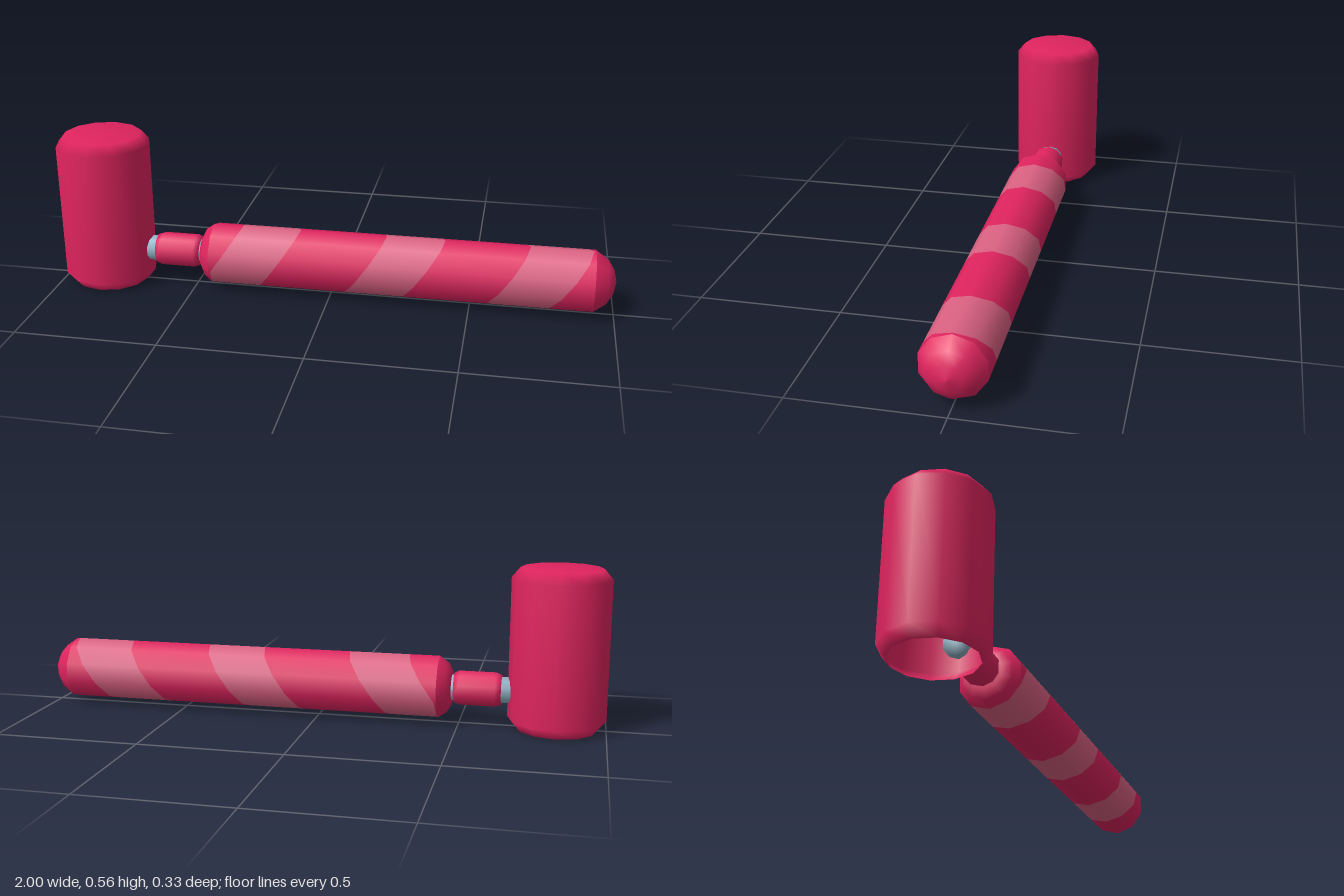
import * as THREE from 'three';

const mat = (name, color, side = THREE.FrontSide) => {
  const m = new THREE.MeshStandardMaterial({ color, side });
  m.name = name;
  return m;
};

export function createModel() {
  const model = new THREE.Group();
  model.name = 'mallet';
  const crimson = mat('crimson', 0xe0245f, THREE.DoubleSide);
  const pink = mat('lightPink', 0xdc6283);
  const steel = mat('paleSteel', 0x8fb2c4);

  const AXIS_Y = 0.125; // height of the handle axis
  const R = 0.11;       // handle radius

  const add = (name, geometry, material, parent = model) => {
    const mesh = new THREE.Mesh(geometry, material);
    mesh.name = name;
    parent.add(mesh);
    return mesh;
  };
  const lathe = (points, sides, start = 0) =>
    new THREE.LatheGeometry(points.map(([r, h]) => new THREE.Vector2(r, h)), sides, start);
  // turned part lying along x; points are [radius, x]
  const turned = (name, points, material, parent) =>
    add(name, lathe(points, 10, Math.PI / 2).rotateZ(-Math.PI / 2).translate(0, AXIS_Y, 0), material, parent);

  // Head: bevelled upright barrel, open underneath
  const head = add('head', lathe([
    [0.138, 0], [0.167, 0.035], [0.167, 0.52], [0.138, 0.555], [0, 0.555],
  ], 12), crimson);
  head.position.x = -0.833;

  // Neck: metal rod with a bevelled sleeve
  turned('neckRod', [[0, -0.69], [0.046, -0.69], [0.046, -0.46], [0, -0.46]], steel);
  turned('neckSleeve', [
    [0.04, -0.645], [0.053, -0.645], [0.061, -0.625], [0.061, -0.5], [0.053, -0.482], [0.04, -0.482],
  ], crimson);

  // Handle: two rounded ends and a body cut into slanted bands
  const handle = new THREE.Group();
  handle.name = 'handle';
  model.add(handle);
  const x0 = -0.43, x1 = 0.925, slant = 0.7;
  turned('handleInnerEnd', [[0, -0.474], [0.06, -0.474], [0.09, -0.458], [R, x0]], crimson, handle);
  turned('handleTip', [[R, x1], [0.08, 0.968], [0.045, 0.99], [0, 1]], crimson, handle);

  const cuts = [-0.6, -0.4, -0.187, 0.123, 0.33, 0.625, 0.84, 1.1];
  for (let i = 0; i < cuts.length - 1; i++) {
    const g = new THREE.CylinderGeometry(R, R, 1, 10, 1, true, Math.PI / 2).rotateZ(-Math.PI / 2);
    const p = g.attributes.position;
    // shear both rims along the slanted cutting planes
    for (let v = 0; v < p.count; v++) {
      const cut = p.getX(v) < 0 ? cuts[i] : cuts[i + 1];
      p.setX(v, THREE.MathUtils.clamp(cut + slant * p.getY(v), x0, x1));
    }
    g.translate(0, AXIS_Y, 0);
    add(i % 2 ? 'lightStripe' : 'darkStripe', g, i % 2 ? pink : crimson, handle);
  }
  return model;
}
